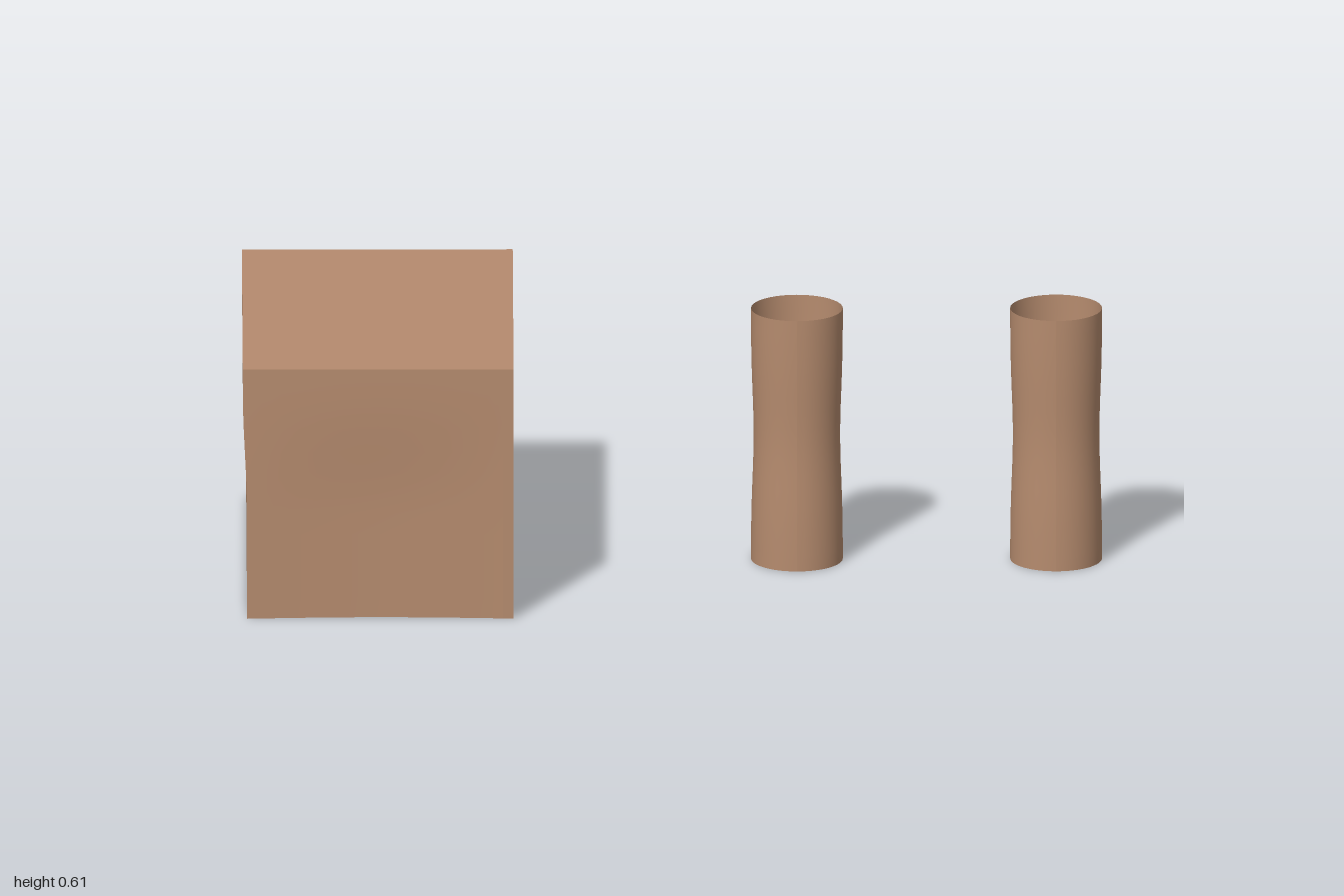
import * as THREE from 'three';

const H = 0.605, X0 = -1, X1 = -0.37, Z = 0.485, WALL = 0.025;
const clay = new THREE.MeshStandardMaterial({ color: 0xb58b6e, side: THREE.DoubleSide });
const grey = new THREE.MeshStandardMaterial({ color: 0xcccccc, side: THREE.DoubleSide });

function add(parent, name, geometry, material) {
  const mesh = new THREE.Mesh(geometry, material);
  mesh.name = name;
  parent.add(mesh);
  return mesh;
}

// Three side walls and roof, open below, with walls drawn in softly
function shellGeometry() {
  const w = X1 - X0;
  const g = new THREE.BoxGeometry(w, H, Z * 2, 14, 12, 14);
  const kept = [1, 2, 4, 5].flatMap((i) => {
    const { start, count } = g.groups[i];
    return Array.from(g.index.array.slice(start, start + count));
  });
  g.setIndex(kept);
  g.clearGroups();
  const p = g.attributes.position;
  for (let i = 0; i < p.count; i++) {
    const x = p.getX(i), y = p.getY(i) + H / 2, z = p.getZ(i);
    const fade = 1 - THREE.MathUtils.smoothstep(y, 0.25, 0.55);
    const alongX = Math.cos((x / w) * Math.PI);
    p.setZ(i, z * (1 - 0.025 * alongX * fade));
    if (x < 0) p.setX(i, x + 0.01 * fade * (1 - Math.max(0, x + w / 2) / (w / 2)));
    p.setY(i, y);
  }
  g.translate((X0 + X1) / 2, 0, 0);
  g.computeVertexNormals();
  return g;
}

// Facade profile, drawn with u = -z: one window hole and two door notches
const doors = [[0.1, 0.243], [0.3, 0.43]], doorTop = 0.373;
const win = { u0: -0.44, u1: 0.015, y0: 0.07, y1: 0.375 };
const cornerSize = 0.006;

function facadeGeometry() {
  const shape = new THREE.Shape();
  shape.moveTo(-Z, 0);
  for (const [a, b] of doors) {
    shape.lineTo(a, 0);
    shape.lineTo(a, doorTop);
    shape.lineTo(b, doorTop);
    shape.lineTo(b, 0);
  }
  shape.lineTo(Z, 0);
  shape.lineTo(Z, H - cornerSize);
  shape.lineTo(Z - cornerSize, H);
  shape.lineTo(-Z + cornerSize, H);
  shape.lineTo(-Z, H - cornerSize);
  shape.closePath();
  const hole = new THREE.Path();
  hole.moveTo(win.u0, win.y0);
  hole.lineTo(win.u0, win.y1);
  hole.lineTo(win.u1, win.y1);
  hole.lineTo(win.u1, win.y0);
  hole.closePath();
  shape.holes.push(hole);
  const g = new THREE.ExtrudeGeometry(shape, { depth: WALL, bevelEnabled: false });
  g.rotateY(Math.PI / 2);
  g.translate(X1 - WALL, 0, 0);
  return g;
}

// Flat grey panel filling an opening at the back of the facade
function panel(parent, name, u0, u1, y0, y1) {
  const m = add(parent, name, new THREE.PlaneGeometry(u1 - u0, y1 - y0), grey);
  m.rotation.y = Math.PI / 2;
  m.position.set(X1 - WALL + 0.002, (y0 + y1) / 2, -(u0 + u1) / 2);
}

// Open tube with a slight waist
function columnGeometry() {
  const g = new THREE.CylinderGeometry(0.107, 0.107, H + 0.003, 40, 16, true);
  g.translate(0, (H + 0.003) / 2, 0);
  const p = g.attributes.position;
  for (let i = 0; i < p.count; i++) {
    const t = p.getY(i) / H;
    const waist = 1 - 0.06 * Math.exp(-(((t - 0.5) / 0.24) ** 2));
    p.setX(i, p.getX(i) * waist);
    p.setZ(i, p.getZ(i) * waist);
  }
  g.computeVertexNormals();
  return g;
}

export function createModel() {
  const model = new THREE.Group();

  const building = new THREE.Group();
  building.name = 'building';
  model.add(building);
  add(building, 'wallsAndRoof', shellGeometry(), clay);
  add(building, 'facade', facadeGeometry(), clay);
  panel(building, 'windowPane', win.u0, win.u1, win.y0, win.y1);
  doors.forEach(([a, b], i) => panel(building, `door${i + 1}`, a, b, 0, doorTop));

  [0.29, 0.893].forEach((x, i) => {
    add(model, `column${i + 1}`, columnGeometry(), clay).position.x = x;
  });
  return model;
}
